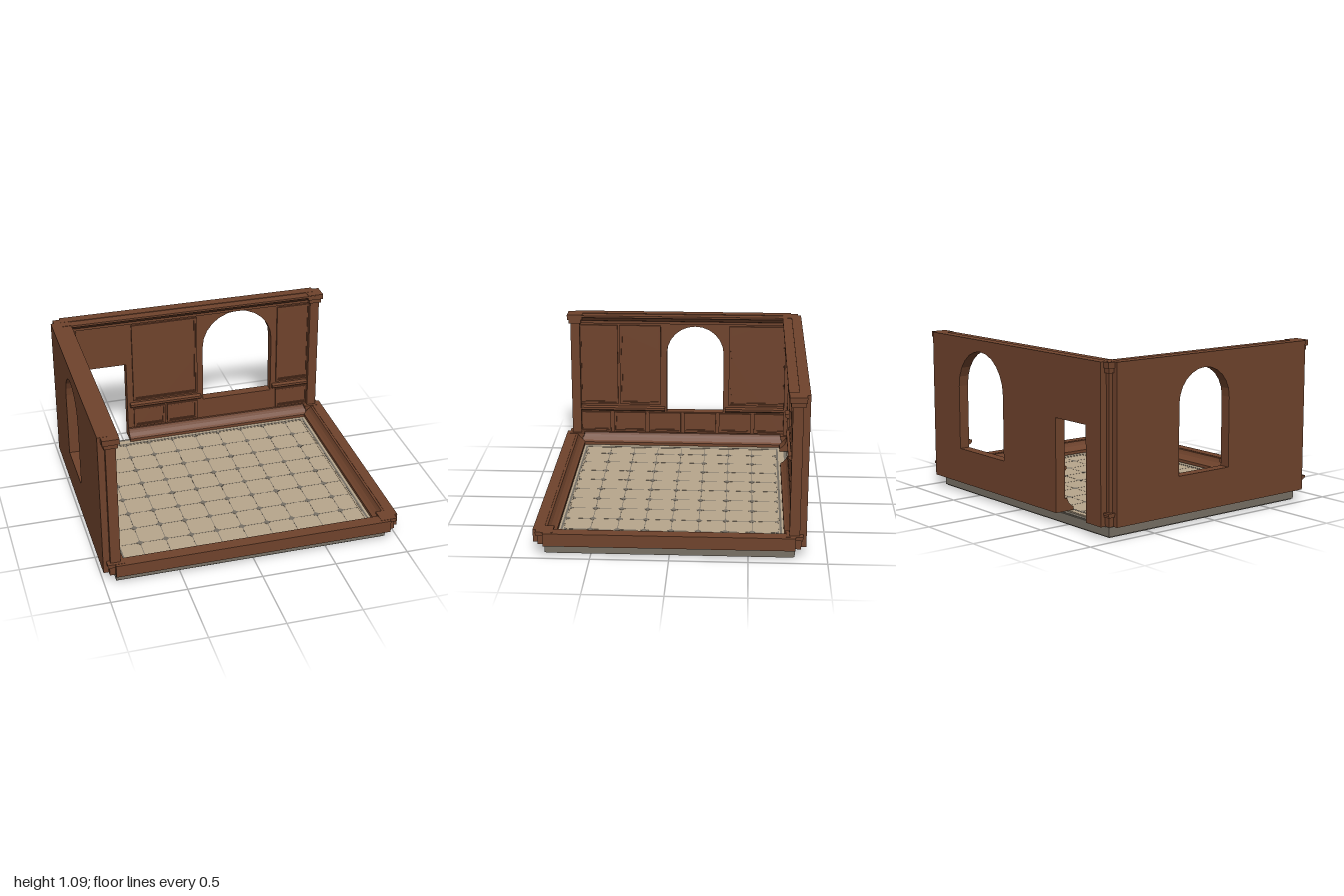
import * as THREE from 'three';

const material = (name, color) => {
  const m = new THREE.MeshStandardMaterial({ color });
  m.name = name;
  return m;
};

export function createModel() {
  const wood = material('brown wood', 0x6f432c);
  const tile = material('beige tile', 0xb8a68c);
  const stone = material('grey stone', 0x777065);

  const room = new THREE.Group();
  room.name = 'panelledRoom';
  const BOTTOM = 0.083, TOP = 1.088, THICK = 0.07, LOW = 0.168;
  const HX = 0.93, HZ = 0.796;

  const add = (parent, name, geo, mat, x = 0, y = 0, z = 0) => {
    const mesh = new THREE.Mesh(geo, mat);
    mesh.name = name;
    mesh.position.set(x, y, z);
    parent.add(mesh);
    return mesh;
  };
  const box = (parent, name, mat, x0, x1, y0, y1, z0, z1) =>
    add(parent, name, new THREE.BoxGeometry(x1 - x0, y1 - y0, z1 - z0), mat,
      (x0 + x1) / 2, (y0 + y1) / 2, (z0 + z1) / 2);
  const rect = (x0, x1, y0, y1, Type = THREE.Shape) => {
    const s = new Type();
    s.moveTo(x0, y0);
    s.lineTo(x1, y0);
    s.lineTo(x1, y1);
    s.lineTo(x0, y1);
    s.closePath();
    return s;
  };
  const extrude = (shape, depth) =>
    new THREE.ExtrudeGeometry(shape, { depth, bevelEnabled: false, curveSegments: 6 });
  const ring = (x0, x1, y0, y1, w, depth) => {
    const s = rect(x0, x1, y0, y1);
    s.holes.push(rect(x0 + w, x1 - w, y0 + w, y1 - w, THREE.Path));
    return extrude(s, depth);
  };

  // Wall space: x runs along the wall, the inner face lies at z = 0
  const wallSpace = (name, x, z, turn) => {
    const g = new THREE.Group();
    g.name = name;
    g.position.set(x, 0, z);
    g.rotation.y = turn;
    room.add(g);
    return g;
  };

  // Moulding: a profile of [depth, height] points swept along the wall
  const moulding = (wall, name, profile, x0, x1) => {
    const s = new THREE.Shape(profile.map(([d, h]) => new THREE.Vector2(d, h)));
    const geo = extrude(s, x1 - x0);
    geo.rotateY(-Math.PI / 2);
    add(wall, name, geo, wood, x1);
  };
  const cornice = [[0, 1.015], [0.016, 1.015], [0.016, 1.035], [0.032, 1.042],
    [0.05, 1.066], [0.064, 1.07], [0.064, 1.084], [0, 1.084]];
  const skirting = [[0, BOTTOM], [0.066, BOTTOM], [0.066, 0.105], [0.05, 0.115],
    [0.03, 0.135], [0.022, 0.15], [0.016, 0.165], [0, 0.165]];
  const rail = [[0, 0.335], [0.018, 0.34], [0.03, 0.35], [0.03, 0.366], [0, 0.372]];

  // Picture-frame panel: outer and finer inner moulding
  const panel = (wall, x0, x1, y0, y1) => {
    add(wall, 'panelFrame', ring(x0, x1, y0, y1, 0.012, 0.014), wood);
    add(wall, 'panelInnerFrame',
      ring(x0 + 0.012, x1 - 0.012, y0 + 0.012, y1 - 0.012, 0.008, 0.007), wood);
  };
  const upperPanel = (wall, [x0, x1]) => panel(wall, x0, x1, 0.39, 1.0);
  const lowerPanel = (wall, [x0, x1]) => panel(wall, x0, x1, 0.172, 0.325);

  const archHole = (cx, r, sill, spring) => {
    const p = new THREE.Path();
    p.moveTo(cx - r, sill);
    p.lineTo(cx + r, sill);
    p.lineTo(cx + r, spring);
    p.absarc(cx, spring, r, 0, Math.PI, false);
    p.closePath();
    return p;
  };

  // Back wall with doorway and arched window
  const back = wallSpace('backWall', 0, -HZ, 0);
  const D0 = -0.785, D1 = -0.48, DOOR_TOP = 0.69;
  const backShape = new THREE.Shape([[-HX, BOTTOM], [D0, BOTTOM], [D0, DOOR_TOP], [D1, DOOR_TOP],
    [D1, BOTTOM], [HX, BOTTOM], [HX, TOP], [-HX, TOP]].map(p => new THREE.Vector2(...p)));
  backShape.holes.push(archHole(0.35, 0.26, 0.32, 0.75));
  add(back, 'backWallSlab', extrude(backShape, THICK), wood, 0, 0, -THICK);
  moulding(back, 'cornice', cornice, -HX, HX);
  moulding(back, 'skirting', skirting, -HX, D0);
  moulding(back, 'skirting', skirting, D1, HX);
  [[-0.92, -0.80], [-0.46, 0.07], [0.62, 0.92]].forEach(r => moulding(back, 'chairRail', rail, ...r));
  [[-0.90, -0.83], [-0.435, 0.045], [0.65, 0.905]].forEach(r => upperPanel(back, r));
  [[-0.90, -0.83], [-0.435, -0.20], [-0.185, 0.045], [0.65, 0.905]].forEach(r => lowerPanel(back, r));

  // Left-hand side wall with arched window
  const side = wallSpace('sideWall', -HX, 0, Math.PI / 2);
  const sideShape = rect(-HZ, HZ, BOTTOM, TOP);
  sideShape.holes.push(archHole(0.095, 0.21, 0.33, 0.785));
  add(side, 'sideWallSlab', extrude(sideShape, THICK), wood, 0, 0, -THICK);
  moulding(side, 'cornice', cornice, -HZ, HZ);
  moulding(side, 'skirting', skirting, -HZ, HZ);
  [[-0.79, -0.13], [0.32, 0.79]].forEach(r => moulding(side, 'chairRail', rail, ...r));
  [[-0.77, -0.48], [-0.465, -0.16], [0.345, 0.77]].forEach(r => upperPanel(side, r));
  for (let i = 0; i < 6; i++) {
    const c = (i - 2.5) * 0.263;
    lowerPanel(side, [c - 0.12, c + 0.12]);
  }

  // Cut-away low walls at the front and the open side
  [['frontLowWall', 0, HZ, Math.PI, HX], ['sideLowWall', HX, 0, -Math.PI / 2, HZ]]
    .forEach(([name, x, z, turn, half]) => {
      const wall = wallSpace(name, x, z, turn);
      box(wall, name + 'Slab', wood, -half, half, BOTTOM, LOW, -THICK, 0);
      moulding(wall, 'skirting', skirting, -half, half);
    });

  // Corner posts: moulded foot everywhere, shaft and capital where full walls meet
  const post = (sx, sz, tall) => {
    const g = new THREE.Group();
    g.name = tall ? 'cornerPost' : 'lowCornerPost';
    g.position.set(sx * 0.924, 0, sz * 0.79);
    const block = (name, r, y0, y1) => box(g, name, wood, -r, r, y0, y1, -r, r);
    block('foot', 0.042, BOTTOM, 0.142);
    block('footCollar', 0.05, 0.142, 0.155);
    block('footCap', 0.055, 0.155, 0.17);
    if (tall) {
      block('shaft', 0.033, 0.17, 1.02);
      block('capitalNeck', 0.045, 1.02, 1.05);
      block('capital', 0.055, 1.05, 1.087);
    }
    room.add(g);
  };
  post(-1, -1, true);
  post(1, -1, true);
  post(-1, 1, true);
  post(1, 1, false);

  // Stone base with a slim step at its top and bottom
  const floor = new THREE.Group();
  floor.name = 'floor';
  room.add(floor);
  box(floor, 'baseSlab', stone, -0.92, 0.92, 0.007, 0.066, -0.795, 0.795);
  box(floor, 'baseCore', stone, -0.912, 0.912, 0, 0.072, -0.787, 0.787);

  // Tiled field with joints and diamond insets
  const TX = 0.826, TZ = 0.698, PITCH = 0.175, Y = 0.076;
  box(floor, 'tileField', tile, -0.885, 0.885, 0.071, Y, -0.76, 0.76);
  const diamond = new THREE.BoxGeometry(0.036, 0.002, 0.036).rotateY(Math.PI / 4);
  for (let i = -4; i <= 4; i++) {
    const p = i * PITCH;
    box(floor, 'joint', stone, p - 0.002, p + 0.002, Y, Y + 0.0006, -TZ, TZ);
    if (Math.abs(i) < 4) box(floor, 'joint', stone, -TX, TX, Y, Y + 0.0006, p - 0.002, p + 0.002);
    for (let j = -4; j <= 4; j++) add(floor, 'diamondInset', diamond, stone, p, Y, j * PITCH);
  }

  // Border around the field, with a stone stripe
  const border = (name, mat, hx, hz, w, height) => {
    const geo = ring(-hx, hx, -hz, hz, w, height);
    geo.rotateX(-Math.PI / 2);
    add(floor, name, geo, mat, 0, Y, 0);
  };
  border('tileBorder', tile, TX + 0.055, TZ + 0.055, 0.055, 0.002);
  border('borderStripe', stone, 0.85, 0.718, 0.014, 0.003);

  return room;
}
